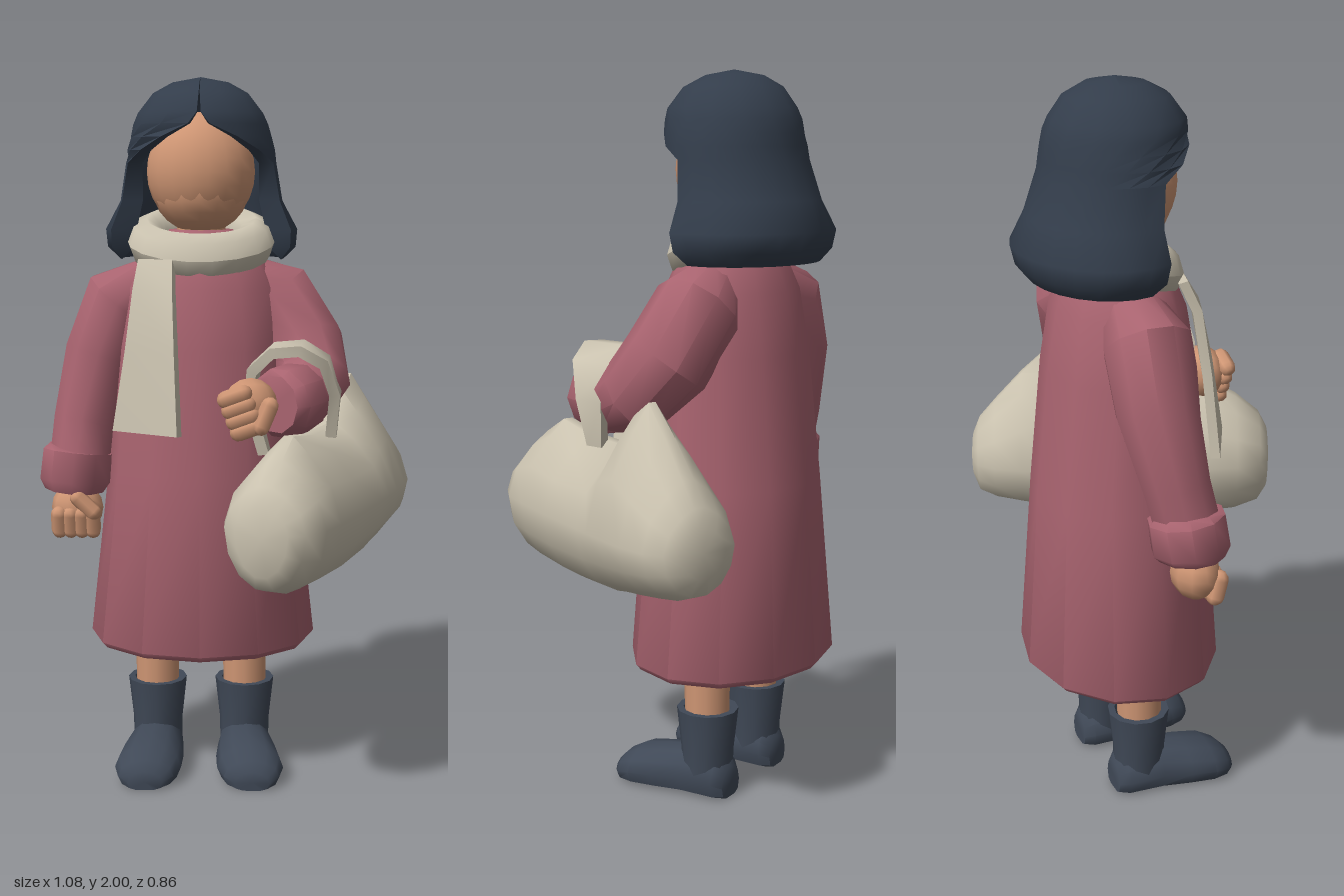
import * as THREE from 'three';
import { toCreasedNormals } from 'three/addons/utils/BufferGeometryUtils.js';

const V = (x, y, z) => new THREE.Vector3(x, y, z);
const mat = (name, color) => new THREE.MeshStandardMaterial({ name, color });
const MID = -0.08; // body centre line in x

// Skin a list of closed rings; winding is turned outward by the sign of the volume
function loft(rings, caps = true, crease = 0.85) {
  const n = rings[0].length, pts = rings.flat(), idx = [];
  for (let i = 0; i < rings.length - 1; i++) {
    for (let j = 0; j < n; j++) {
      const a = i * n + j, b = i * n + (j + 1) % n;
      idx.push(a, b, a + n, b, b + n, a + n);
    }
  }
  if (caps) {
    [0, rings.length - 1].forEach((r) => {
      const c = V(0, 0, 0);
      rings[r].forEach((p) => c.addScaledVector(p, 1 / n));
      pts.push(c);
      for (let j = 0; j < n; j++) {
        const a = r * n + j, b = r * n + (j + 1) % n;
        idx.push(pts.length - 1, r ? a : b, r ? b : a);
      }
    });
  }
  let vol = 0;
  for (let i = 0; i < idx.length; i += 3) {
    vol += pts[idx[i]].dot(V(0, 0, 0).crossVectors(pts[idx[i + 1]], pts[idx[i + 2]]));
  }
  if (vol < 0) idx.reverse();
  const g = new THREE.BufferGeometry().setFromPoints(pts);
  g.setIndex(idx);
  return toCreasedNormals(g, crease);
}

function ring(c, u, v, a, b, n) {
  return Array.from({ length: n }, (_, i) => {
    const t = (i / n) * Math.PI * 2;
    return c.clone().addScaledVector(u, a * Math.cos(t)).addScaledVector(v, b * Math.sin(t));
  });
}

// Round limb through stations [x, y, z, radius]
function limb(stations, n = 10) {
  const p = stations.map((s) => V(s[0], s[1], s[2]));
  let u = V(0, 0, 1);
  return loft(p.map((c, i) => {
    const t = p[Math.min(i + 1, p.length - 1)].clone().sub(p[Math.max(i - 1, 0)]).normalize();
    u = u.clone().addScaledVector(t, -u.dot(t)).normalize();
    return ring(c, u, t.clone().cross(u), stations[i][3], stations[i][3], n);
  }));
}

// Flat band through stations [centre, half-width direction, half width, thickness direction]
function band(stations, thick) {
  return loft(stations.map(([c, w, hw, t]) => [[-1, -1], [1, -1], [1, 1], [-1, 1]].map(([a, b]) =>
    c.clone().addScaledVector(w.clone().normalize(), a * hw)
      .addScaledVector(t.clone().normalize(), b * thick / 2))));
}

export function createModel() {
  const model = new THREE.Group();
  const skin = mat('skin', 0xcf9674), coatRed = mat('coat rose', 0xa8636f);
  const cream = mat('cream cloth', 0xcac2af), hairDark = mat('hair slate', 0x333d4b);
  const bootDark = mat('boot slate', 0x404957);
  const add = (name, geo, m, parent = model) => {
    const mesh = new THREE.Mesh(geo, m);
    mesh.name = name;
    parent.add(mesh);
    return mesh;
  };

  // Coat: [y, z centre, x radius, z radius]
  add('coat', loft([
    [0.40, -0.15, 0.31, 0.25], [0.378, -0.15, 0.315, 0.255], [0.395, -0.15, 0.33, 0.27],
    [0.9, -0.145, 0.272, 0.235], [1.25, -0.14, 0.25, 0.2], [1.42, -0.14, 0.225, 0.17],
    [1.52, -0.14, 0.17, 0.13], [1.58, -0.14, 0.09, 0.08],
  ].map(([y, z, a, b]) => ring(V(MID, y, z), V(1, 0, 0), V(0, 0, 1), a, b, 12))), coatRed);

  // Sleeves and turned cuffs
  add('rightSleeve', limb([[-0.18, 1.45, -0.15, 0.07], [-0.31, 1.375, -0.16, 0.115],
    [-0.37, 1.22, -0.16, 0.108], [-0.42, 1.03, -0.13, 0.09], [-0.435, 0.9, -0.1, 0.088]]), coatRed);
  add('rightCuff', limb([[-0.436, 0.955, -0.11, 0.085], [-0.438, 0.945, -0.11, 0.102],
    [-0.446, 0.86, -0.1, 0.104], [-0.448, 0.835, -0.1, 0.088]]), coatRed);
  add('leftSleeve', limb([[0.02, 1.45, -0.15, 0.07], [0.13, 1.385, -0.165, 0.12],
    [0.21, 1.25, -0.12, 0.122], [0.235, 1.16, -0.04, 0.108], [0.205, 1.13, 0.05, 0.088],
    [0.155, 1.13, 0.13, 0.085]]), coatRed);
  add('leftCuff', limb([[0.198, 1.13, 0.06, 0.084], [0.192, 1.13, 0.07, 0.098],
    [0.142, 1.125, 0.145, 0.098], [0.128, 1.125, 0.16, 0.08]]), coatRed);

  // Fists: palm, curled fingers and thumb, pointing down in their own frame
  const fist = (name, x, y, z) => {
    const g = new THREE.Group();
    g.name = name;
    g.position.set(x, y, z);
    add('palm', new THREE.SphereGeometry(0.075, 10, 8), skin, g).scale.set(1, 1, 0.85);
    for (let i = 0; i < 4; i++) {
      const f = add('finger', new THREE.CapsuleGeometry(0.024, 0.05, 3, 7), skin, g);
      f.position.set(-0.048 + i * 0.032, -0.035, 0.042);
      f.rotation.x = 0.25;
    }
    const thumb = add('thumb', new THREE.CapsuleGeometry(0.024, 0.06, 3, 7), skin, g);
    thumb.position.set(0.03, 0.02, 0.06);
    thumb.rotation.z = 0.8;
    model.add(g);
    return g;
  };
  fist('rightHand', -0.44, 0.783, -0.085);
  fist('leftHand', 0.06, 1.125, 0.18).rotation.set(0, 0.2, -1.2);

  // Head and neck
  const head = add('head', new THREE.SphereGeometry(1, 18, 14), skin);
  head.scale.set(0.152, 0.165, 0.135);
  head.position.set(MID, 1.74, -0.12);
  const jaw = add('jaw', new THREE.SphereGeometry(1, 16, 12), skin);
  jaw.scale.set(0.135, 0.12, 0.125);
  jaw.position.set(MID, 1.69, -0.12);
  add('neck', new THREE.CylinderGeometry(0.065, 0.075, 0.16, 12), skin).position.set(MID, 1.57, -0.14);

  // Hair shell open at the face: [y, x radius, z centre, z radius, half opening, inner scale]
  const hairRows = [
    [2.0, 0.001, -0.14, 0.001, 0.01, 0.5], [1.985, 0.08, -0.14, 0.08, 0.01, 0.8],
    [1.955, 0.135, -0.137, 0.135, 0.01, 0.82], [1.9, 0.178, -0.135, 0.174, 0.03, 0.84],
    [1.87, 0.19, -0.14, 0.182, 0.15, 0.84], [1.835, 0.2, -0.143, 0.186, 0.55, 0.83],
    [1.8, 0.208, -0.147, 0.188, 0.9, 0.82], [1.765, 0.212, -0.15, 0.19, 1.28, 0.8],
    [1.66, 0.23, -0.165, 0.212, 1.3, 0.74], [1.58, 0.275, -0.19, 0.222, 1.17, 0.72],
    [1.53, 0.27, -0.19, 0.21, 1.2, 0.76], [1.495, 0.235, -0.19, 0.18, 1.3, 1],
  ];
  add('hair', loft(hairRows.map(([y, a, zc, b, open, inner]) => {
    const arc = (k) => Array.from({ length: 15 }, (_, i) => {
      const t = open + (i / 14) * (Math.PI * 2 - 2 * open);
      return V(MID + k * a * Math.sin(t), y, zc + k * b * Math.cos(t));
    });
    return [...arc(1), ...arc(inner).reverse()];
  }), false, 1), hairDark);

  // Scarf: collar loop dipping at the front, with one hanging end
  const loop = new THREE.TorusGeometry(0.155, 0.056, 8, 18).rotateX(Math.PI / 2).scale(1, 1, 0.78);
  const lp = loop.attributes.position;
  for (let i = 0; i < lp.count; i++) lp.setY(i, lp.getY(i) * 1.1 - lp.getZ(i) * 0.32);
  loop.computeVertexNormals();
  add('scarfLoop', loop, cream).position.set(MID, 1.55, -0.14);
  add('scarfEnd', band([
    [V(-0.2, 1.5, -0.015), V(1, 0, 0.3), 0.05, V(-0.3, 0.3, 1)],
    [V(-0.205, 1.42, 0.028), V(1, 0, 0.4), 0.06, V(-0.4, 0.3, 1)],
    [V(-0.212, 1.25, 0.06), V(1, 0, 0.5), 0.078, V(-0.5, 0.2, 1)],
    [V(-0.225, 1.03, 0.085), V(1, 0, 0.55), 0.105, V(-0.55, 0.1, 1)],
  ], 0.025), cream);

  // Legs and boots, mirrored about the body centre
  for (const s of [-1, 1]) {
    const side = s < 0 ? 'right' : 'left', x = MID - 0.005 + s * 0.13;
    add(side + 'Leg', new THREE.CylinderGeometry(0.066, 0.062, 0.3, 12), skin).position.set(x, 0.33, -0.145);
    add(side + 'BootShaft', loft([[0.06, 0.072], [0.13, 0.074], [0.25, 0.087], [0.25, 0.068], [0.235, 0.06]]
      .map(([y, r]) => ring(V(x, y, -0.147), V(1, 0, 0), V(0, 0, 1), r, r, 12))), bootDark);
    // [z, outward shift, half width, height]
    add(side + 'BootFoot', loft([
      [-0.225, 0, 0.045, 0.09], [-0.2, 0, 0.07, 0.12], [-0.1, 0.002, 0.08, 0.13], [-0.02, 0.01, 0.092, 0.118],
      [0.05, 0.018, 0.096, 0.105], [0.095, 0.022, 0.08, 0.08], [0.12, 0.024, 0.05, 0.055],
    ].map(([z, o, w, h]) => Array.from({ length: 12 }, (_, i) => {
      const t = (i / 12) * Math.PI * 2;
      const k = Math.max(-1, Math.sin(t) * (Math.sin(t) < 0 ? 1.5 : 1));
      return V(x + s * o + w * Math.cos(t), k < 0 ? h * 0.4 * (1 + k) : h * (0.4 + 0.6 * k), z);
    }))), bootDark);
  }

  // Sack bag lying diagonally: [along, half width, bottom y, top y, top narrowing]
  const along = V(0.4, 0, -0.917), across = V(0.917, 0, 0.4);
  add('bag', loft([
    [-0.435, 0.075, 0.71, 0.9, 0.2], [-0.41, 0.115, 0.67, 0.95, 0.3], [-0.34, 0.145, 0.645, 1.01, 0.45],
    [-0.25, 0.152, 0.635, 1.06, 0.65], [-0.1, 0.158, 0.63, 1.04, 0.55], [0.08, 0.158, 0.64, 1.04, 0.55],
    [0.13, 0.158, 0.65, 1.13, 0.7], [0.2, 0.158, 0.66, 1.175, 0.75], [0.29, 0.153, 0.675, 1.09, 0.6],
    [0.37, 0.135, 0.69, 1.0, 0.45], [0.42, 0.105, 0.71, 0.94, 0.3], [0.44, 0.065, 0.76, 0.89, 0.2],
  ].map(([s, hw, lo, hi, pinch]) => Array.from({ length: 14 }, (_, i) => {
    const t = (i / 14) * Math.PI * 2, k = Math.sin(t), mid = 0.83;
    const w = hw * Math.cos(t) * (k > 0 ? 1 - pinch * k * k : 1);
    return V(0.263, 0, 0.016).addScaledVector(along, s).addScaledVector(across, w)
      .setY(mid + (k > 0 ? hi - mid : mid - lo) * k);
  }))), cream);

  // Carrying strap over the forearm, wide on top and narrow at the bag
  add('bagStrap', band([
    [0.1, 0.98, 0.1, 0.03, -1, -0.1], [0.062, 1.12, 0.09, 0.05, -1, 0], [0.07, 1.21, 0.085, 0.07, -1, 0.7],
    [0.125, 1.262, 0.082, 0.078, -0.4, 1], [0.2, 1.268, 0.08, 0.08, 0.2, 1], [0.265, 1.23, 0.075, 0.07, 0.8, 0.8],
    [0.295, 1.14, 0.062, 0.045, 1, 0.1], [0.285, 1.02, 0.052, 0.026, 1, -0.1],
  ].map(([x, y, z, hw, nx, ny]) => [V(x, y, z), V(-0.1, 0, 1), hw, V(nx, ny, 0)]), 0.03), cream);

  return model;
}
